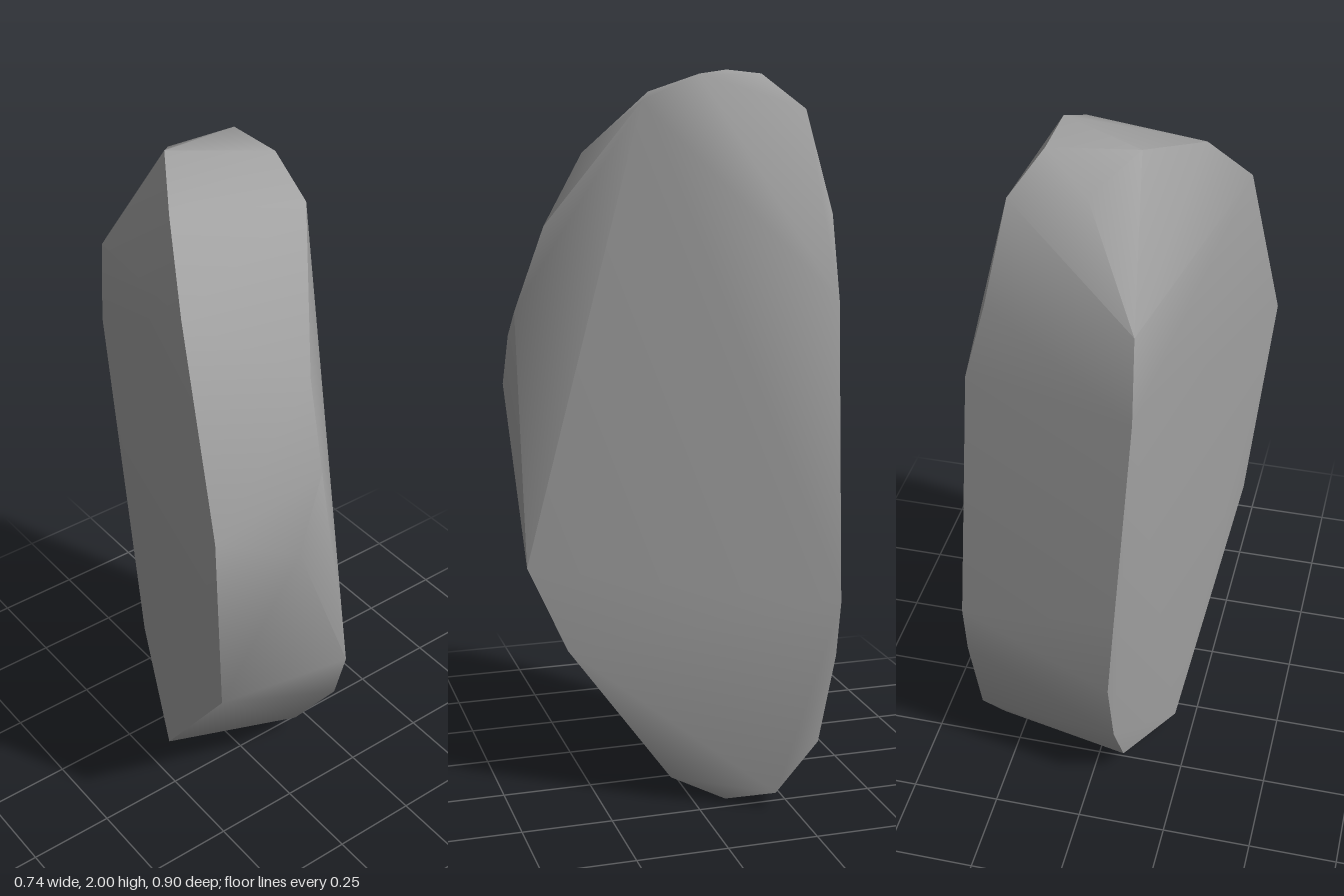
import * as THREE from 'three';
import { ConvexGeometry } from 'three/addons/geometries/ConvexGeometry.js';
import { toCreasedNormals } from 'three/addons/utils/BufferGeometryUtils.js';

// Rim of the broad face on the +x side, clockwise from the top
const leftRim = [
  [0.13, 1.99, -0.2], [0.2, 1.9, -0.3], [0.25, 1.63, -0.36], [0.31, 1.41, -0.36],
  [0.365, 0.6, -0.36], [0.36, 0.45, -0.35], [0.34, 0.2, -0.31], [0.31, 0.05, -0.2],
  [0.2, 0, -0.09], [0.17, 0.07, 0.06], [0.09, 0.44, 0.33], [0.04, 0.67, 0.43],
  [-0.07, 1.36, 0.43], [-0.05, 1.59, 0.35], [0.11, 1.92, 0.12], [0.13, 1.99, -0.03],
];

// Rim of the broad face on the -x side
const rightRim = [
  [-0.1, 2, -0.18], [0, 1.93, -0.31], [-0.14, 1.64, -0.43], [-0.14, 1.4, -0.45],
  [-0.09, 0.72, -0.44], [-0.07, 0.45, -0.43], [-0.08, 0.25, -0.4], [-0.09, 0.09, -0.32],
  [-0.06, 0.01, -0.16], [-0.2, 0.06, -0.1], [-0.31, 0.63, 0.33],
  [-0.37, 1.25, 0.39], [-0.31, 1.77, 0.18], [-0.22, 1.94, 0.01],
];

// Slight bulge on the front edge
const frontBulge = [[-0.15, 1.15, 0.45]];

export function createModel() {
  const group = new THREE.Group();
  group.name = 'stone';

  const stoneGrey = new THREE.MeshStandardMaterial({ color: 0xa3a3a3 });
  stoneGrey.name = 'stone grey';

  // Convex slab: smooth around the rim, sharp where it meets the broad faces
  const points = [...leftRim, ...rightRim, ...frontBulge].map((p) => new THREE.Vector3(...p));
  const geometry = toCreasedNormals(new ConvexGeometry(points), THREE.MathUtils.degToRad(42));

  const slab = new THREE.Mesh(geometry, stoneGrey);
  slab.name = 'stoneSlab';
  group.add(slab);
  return group;
}
